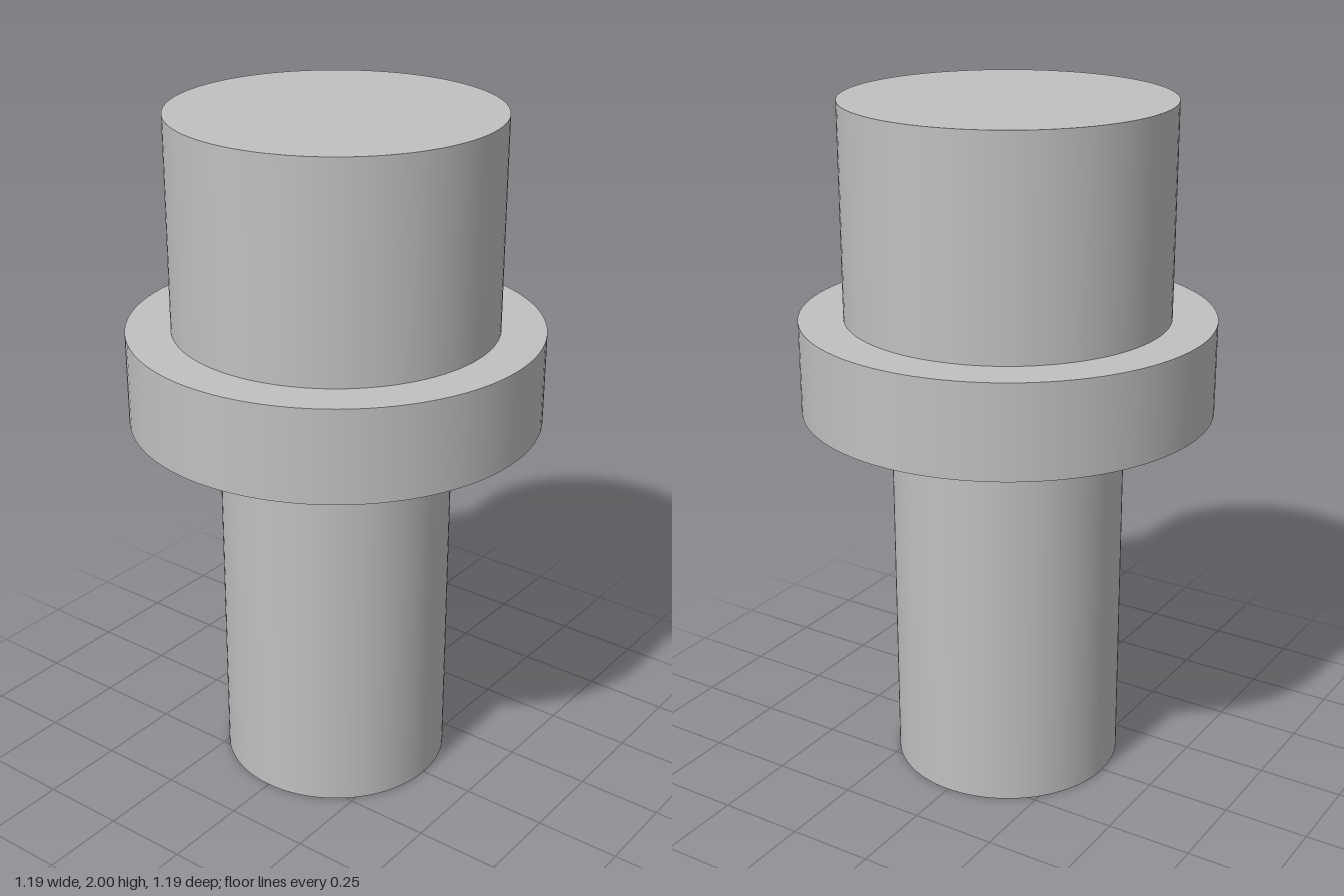
import * as THREE from 'three';

export function createModel() {
  const group = new THREE.Group();
  const steel = new THREE.MeshStandardMaterial({ color: 0xc0c0c0 });
  steel.name = 'plain grey';

  // Stacked coaxial cylinders: name, radius, bottom, top
  const sections = [
    ['stem', 0.337, 0, 1.12],
    ['flange', 0.593, 1.12, 1.39],
    ['head', 0.465, 1.39, 2],
  ];

  for (const [name, radius, bottom, top] of sections) {
    const geometry = new THREE.CylinderGeometry(radius, radius, top - bottom, 96);
    const mesh = new THREE.Mesh(geometry, steel);
    mesh.name = name;
    mesh.position.y = (bottom + top) / 2;
    group.add(mesh);
  }
  return group;
}
